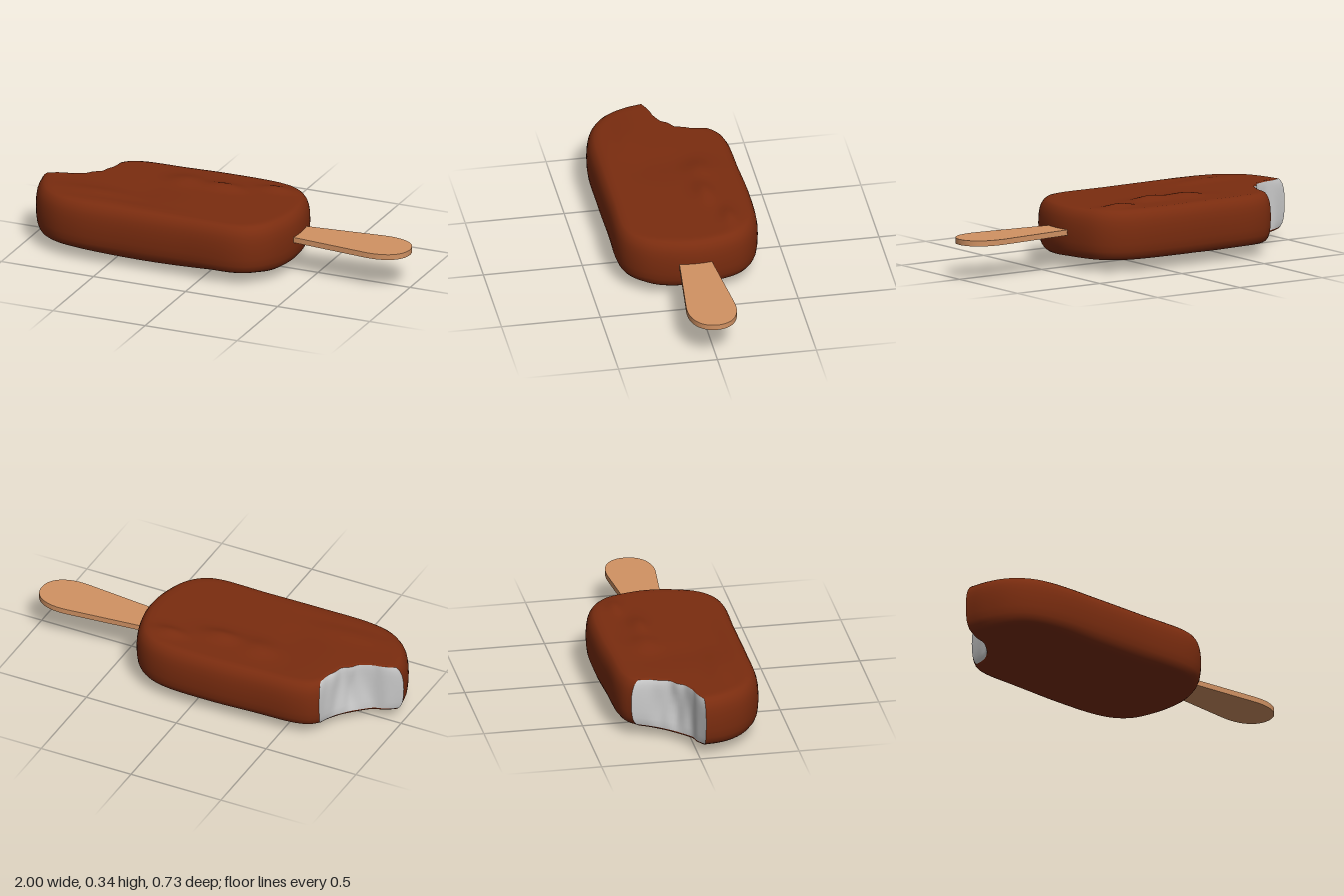
import * as THREE from 'three';
import { toCreasedNormals } from 'three/addons/utils/BufferGeometryUtils.js';

const curve = (pts, n) => new THREE.CatmullRomCurve3(
  pts.map(([x, z]) => new THREE.Vector3(x, 0, z))).getSpacedPoints(n);

// Lumps on the coating: x, z, height, x radius, z radius
const LUMPS = [
  [-0.63, 0.17, 0.010, 0.2, 0.06], [-0.28, -0.14, 0.018, 0.1, 0.07],
  [-0.07, -0.13, 0.022, 0.1, 0.05], [0.18, -0.21, 0.018, 0.08, 0.04],
  [-0.4, 0.0, -0.006, 0.12, 0.2], [-0.5, 0.27, 0.006, 0.25, 0.04],
];
const topY = (x, z) => LUMPS.reduce((y, [lx, lz, h, rx, rz]) =>
  y + h * Math.exp(-(((x - lx) / rx) ** 2) - (((z - lz) / rz) ** 2)), 0.314);

// Shallow belly, deepest left of the centre line
const bottomY = (x, z) => {
  const q = Math.hypot((x + 0.3) / 0.72, (z - 0.13) / (z > 0.13 ? 0.22 : 0.46));
  return 0.062 * Math.min(1, q) ** 1.3;
};

// Side profile: inset from the outline, share of the height
const PROFILE = [[0.042, 0], [0.028, 0.03], [0.016, 0.09], [0.007, 0.18], [0.002, 0.32], [0, 0.5],
  [0.002, 0.66], [0.007, 0.78], [0.015, 0.87], [0.027, 0.94], [0.04, 0.98], [0.06, 1]];
const CAP = 22;

function buildBar(chocolate, cream) {
  const COAT = 120, BITE = 30, n = COAT + BITE;
  const coat = curve([[-1, 0.03], [-0.975, 0.13], [-0.91, 0.245], [-0.81, 0.32], [-0.68, 0.355],
    [-0.4, 0.362], [-0.1, 0.36], [0.18, 0.357], [0.27, 0.325], [0.345, 0.25], [0.395, 0.12], [0.41, 0],
    [0.395, -0.12], [0.345, -0.25], [0.27, -0.32], [0.16, -0.358], [-0.1, -0.37], [-0.35, -0.36],
    [-0.57, -0.35], [-0.65, -0.325], [-0.69, -0.29]], COAT);
  const bite = curve([[-0.69, -0.29], [-0.705, -0.22], [-0.745, -0.13], [-0.81, -0.055],
    [-0.87, -0.012], [-0.93, 0.0], [-1, 0.03]], BITE);
  const outline = [...coat.slice(0, COAT), ...bite.slice(0, BITE)];

  // Point of the side wall in column i
  const wall = (i, [inset, f]) => {
    const p = outline[i];
    const core = new THREE.Vector3(THREE.MathUtils.clamp(p.x, -0.6, 0.05), 0, 0);
    const b = i < COAT ? 0 : Math.sin(Math.PI * (i - COAT) / BITE);
    const hollow = b * (0.022 * Math.sin(Math.PI * f) + 0.02 * f
      + 0.006 * Math.sin(i * 0.9) * Math.sin(f * 5));
    const d = inset * (1 - 0.7 * b) + hollow;
    const q = p.clone().addScaledVector(core.sub(p).normalize(), d);
    q.y = THREE.MathUtils.lerp(bottomY(q.x, q.z), topY(q.x, q.z), f);
    return q;
  };
  // Point of the flat faces, s = 0 at the centre and 1 at the rim
  const cap = (i, s, end, height) => {
    const q = wall(i, end);
    const x = THREE.MathUtils.lerp(-0.3, q.x, s), z = q.z * s;
    return new THREE.Vector3(x, height(x, z), z);
  };

  const rows = [];
  for (let k = 0; k < CAP; k++) rows.push(i => cap(i, k / CAP, PROFILE[0], bottomY));
  PROFILE.forEach(e => rows.push(i => wall(i, e)));
  for (let k = CAP - 1; k >= 0; k--) rows.push(i => cap(i, k / CAP, PROFILE.at(-1), topY));

  const points = [], coatFaces = [], biteFaces = [];
  rows.forEach((row, j) => {
    for (let i = 0; i < n; i++) {
      points.push(row(i));
      if (j === 0) continue;
      const i2 = (i + 1) % n, a = (j - 1) * n + i, b = (j - 1) * n + i2, c = j * n + i2, d = j * n + i;
      // The bitten wall is cream between two thin lips of coating
      const inBite = i >= COAT && j > CAP + 1 && j < CAP + PROFILE.length - 1;
      (inBite ? biteFaces : coatFaces).push(a, b, c, a, c, d);
    }
  });
  const mesh = (faces, material, name) => {
    const g = new THREE.BufferGeometry().setFromPoints(points);
    g.setIndex(faces);
    g.computeVertexNormals();
    const m = new THREE.Mesh(g, material);
    m.name = name;
    return m;
  };
  const bar = new THREE.Group();
  bar.name = 'iceCreamBar';
  bar.add(mesh(coatFaces, chocolate, 'chocolateCoating'), mesh(biteFaces, cream, 'bittenCream'));
  return bar;
}

// Flat wooden stick widening to a round end
function buildStick(material) {
  const s = new THREE.Shape();
  s.moveTo(0.2, -0.062);
  s.lineTo(0.8, -0.122);
  s.bezierCurveTo(0.92, -0.134, 1, -0.085, 1, 0);
  s.bezierCurveTo(1, 0.085, 0.92, 0.134, 0.8, 0.122);
  s.lineTo(0.2, 0.062);
  s.closePath();
  const g = new THREE.ExtrudeGeometry(s, { depth: 0.028, bevelEnabled: false, curveSegments: 20 });
  g.rotateX(-Math.PI / 2).translate(0, 0.174, 0);
  const stick = new THREE.Mesh(toCreasedNormals(g, 0.6), material);
  stick.name = 'stick';
  return stick;
}

export function createModel() {
  const model = new THREE.Group();
  model.name = 'bittenIceCream';
  const chocolate = new THREE.MeshStandardMaterial({ color: 0x7a2c0f });
  const cream = new THREE.MeshStandardMaterial({ color: 0xcccccc });
  const wood = new THREE.MeshStandardMaterial({ color: 0xd19263 });
  model.add(buildBar(chocolate, cream), buildStick(wood));
  return model;
}
